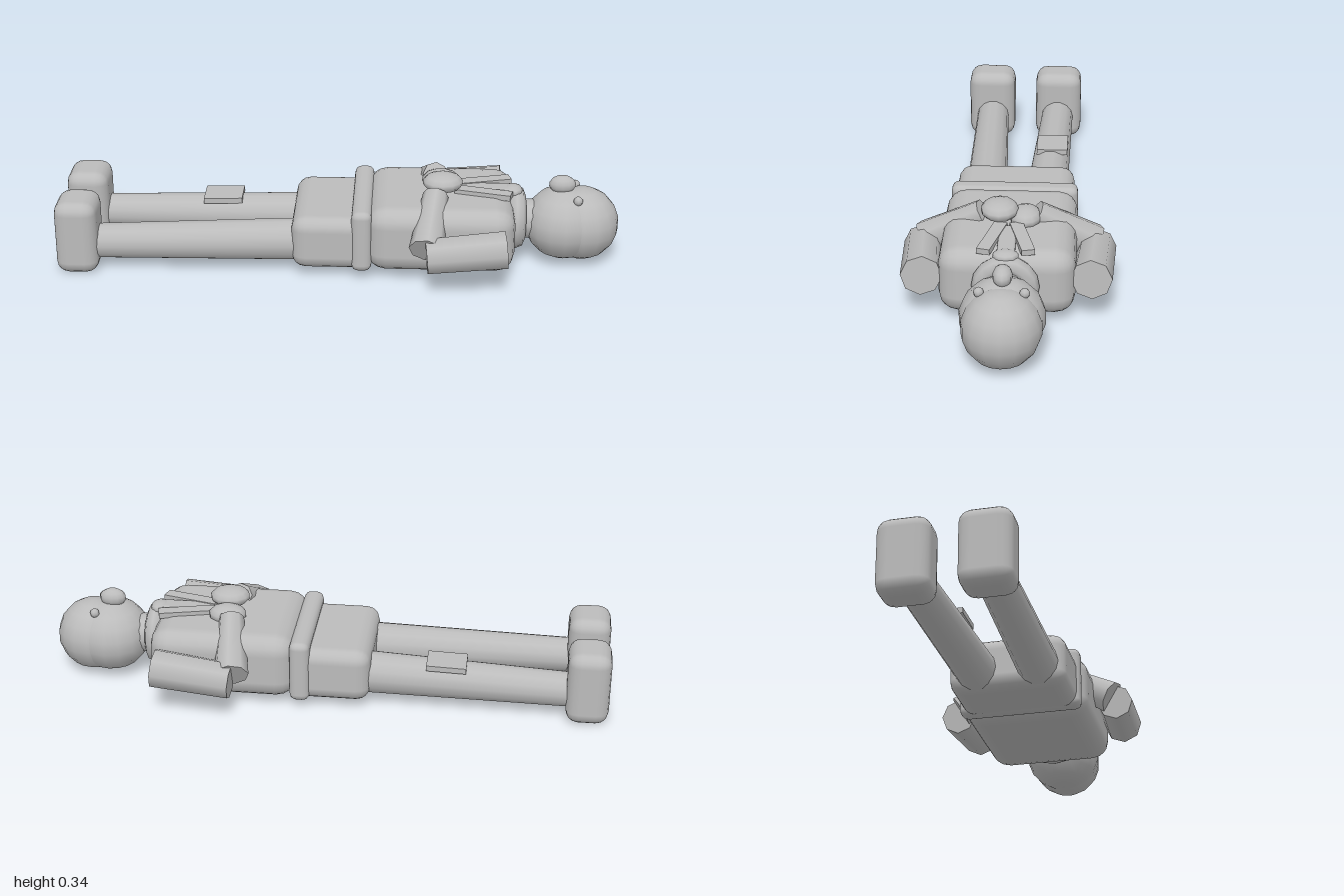
import * as THREE from 'three';
import { RoundedBoxGeometry } from 'three/addons/geometries/RoundedBoxGeometry.js';

// A figure lying on its back: feet at -x, head at +x, face up.
export function createModel() {
  const group = new THREE.Group();
  const grey = new THREE.MeshStandardMaterial({ color: 0xbbbbbb });
  grey.name = 'plain grey';

  const add = (name, geometry, x = 0, y = 0, z = 0) => {
    const mesh = new THREE.Mesh(geometry, grey);
    mesh.name = name;
    mesh.position.set(x, y, z);
    group.add(mesh);
    return mesh;
  };
  // rounded box given by its limits
  const block = (name, x0, x1, y0, y1, z0, z1, r) =>
    add(name, new RoundedBoxGeometry(x1 - x0, y1 - y0, z1 - z0, 2, r),
      (x0 + x1) / 2, (y0 + y1) / 2, (z0 + z1) / 2);
  const ball = (name, x, y, z, rx, ry, rz, seg = 16) => {
    const geometry = new THREE.SphereGeometry(1, seg, Math.max(6, seg * 0.6 | 0));
    return add(name, geometry.scale(rx, ry, rz), x, y, z);
  };
  // tapered limb between two points
  const limb = (name, a, b, ra, rb, sides) => {
    const from = new THREE.Vector3(...a), to = new THREE.Vector3(...b);
    const dir = to.clone().sub(from);
    const mesh = add(name, new THREE.CylinderGeometry(rb, ra, dir.length(), sides));
    mesh.position.copy(from).add(to).multiplyScalar(0.5);
    mesh.quaternion.setFromUnitVectors(new THREE.Vector3(0, 1, 0), dir.normalize());
    return mesh;
  };

  // body
  block('pelvis', -0.165, 0.1, 0.03, 0.225, -0.213, 0.208, 0.05);
  block('belt', 0.047, 0.118, 0.032, 0.258, -0.228, 0.218, 0.025);
  block('torso', 0.1, 0.62, 0.03, 0.268, -0.23, 0.228, 0.068);

  // neck and collar
  limb('neck', [0.57, 0.155, 0], [0.72, 0.155, 0], 0.07, 0.07, 12);
  const collar = add('collar', new THREE.TorusGeometry(0.08, 0.033, 8, 16), 0.63, 0.16, 0);
  collar.rotation.y = Math.PI / 2;
  ball('collarKnot', 0.615, 0.265, 0, 0.035, 0.02, 0.045, 10);

  // head
  ball('head', 0.8, 0.145, 0, 0.14, 0.132, 0.142);
  ball('hair', 0.865, 0.143, 0, 0.132, 0.132, 0.132);
  ball('nose', 0.79, 0.29, 0, 0.048, 0.034, 0.033, 12);

  for (const s of [-1, 1]) {
    const side = s > 0 ? 'right' : 'left';
    ball(side + 'Eye', 0.842, 0.258, s * 0.073, 0.017, 0.017, 0.017, 8);

    // leg and boot
    limb(side + 'Leg', [-0.87, 0.097, s * 0.13], [-0.12, 0.11, s * 0.11], 0.062, 0.076, 14);
    block(side + 'Boot', -1, -0.85, 0.0, 0.27, s * 0.133 - 0.09, s * 0.133 + 0.09, 0.045);

    // bent arm reaching over the chest
    limb(side + 'UpperArm', [0.31, 0.142, s * 0.3], [0.585, 0.165, s * 0.282], 0.065, 0.07, 8);
    limb(side + 'Forearm', [0.31, 0.16, s * 0.29], [0.34, 0.28, s * 0.09], 0.062, 0.045, 8);

    // flat lapel running from the collar to the hands
    const lapel = add(side + 'Lapel', new THREE.BoxGeometry(0.2, 0.02, 0.045), 0.51, 0.273, s * 0.05);
    lapel.rotation.y = s * -0.25;
  }
  ball('upperHand', 0.365, 0.306, 0.033, 0.072, 0.034, 0.065, 12);
  ball('lowerHand', 0.36, 0.278, -0.055, 0.068, 0.035, 0.055, 12);
  block('scarfEnd', 0.43, 0.62, 0.255, 0.28, -0.03, 0.03, 0.008);

  // patch on one knee
  const patch = add('kneePatch', new THREE.BoxGeometry(0.14, 0.02, 0.115), -0.43, 0.17, -0.123);
  patch.rotation.z = 0.03;
  return group;
}
